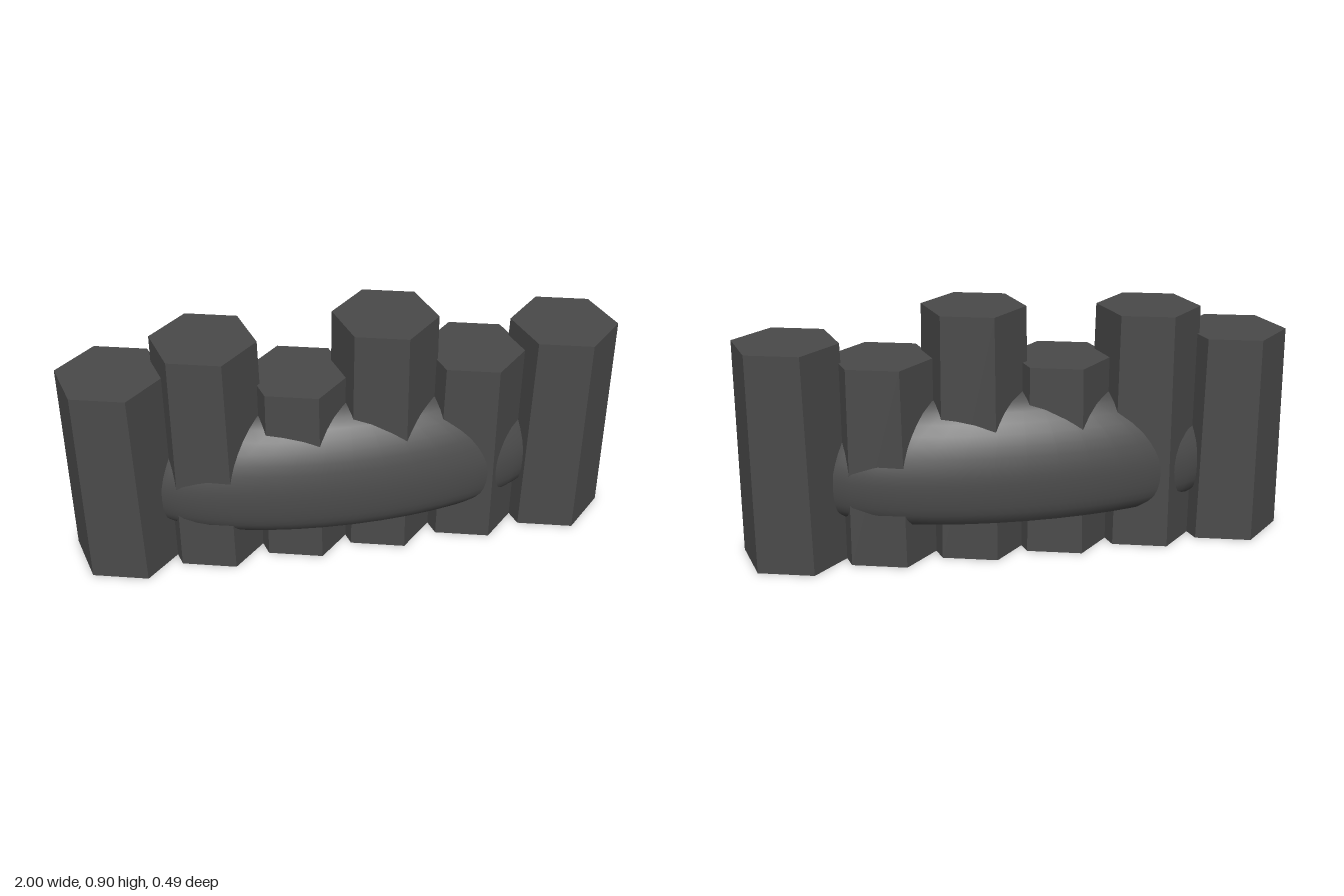
import * as THREE from 'three';
import { toCreasedNormals } from 'three/addons/utils/BufferGeometryUtils.js';

export function createModel() {
  const group = new THREE.Group();
  group.name = 'basaltWall';
  const stone = new THREE.MeshStandardMaterial({ color: 0x4a4a4a });
  stone.name = 'darkStone';

  // Row of tapered hexagonal columns: [x, height, bottom radius]
  const columns = [
    [-0.802, 0.77, 0.205],
    [-0.48, 0.87, 0.2],
    [-0.16, 0.7, 0.2],
    [0.15, 0.9, 0.2],
    [0.475, 0.73, 0.2],
    [0.802, 0.8, 0.205],
  ];
  columns.forEach(([x, height, radius], i) => {
    const hex = new THREE.CylinderGeometry(radius * 0.925, radius, height, 6);
    const column = new THREE.Mesh(toCreasedNormals(hex, 0.3), stone);
    column.name = `hexColumn${i + 1}`;
    column.position.set(x, height / 2, -0.004);
    column.rotation.y = 0.25;
    group.add(column);
  });

  // Long smooth boulder with a flat underside, running through the columns
  const side = new THREE.SplineCurve([
    [0.87, 0.155], [0.97, 0.2], [1, 0.285], [0.96, 0.375],
    [0.81, 0.48], [0.5, 0.575], [0, 0.615],
  ].map(([r, y]) => new THREE.Vector2(r, y))).getPoints(18);
  side[side.length - 1].x = 0;
  const profile = [new THREE.Vector2(0, 0.155), ...side];
  const shell = new THREE.LatheGeometry(profile, 40);
  shell.scale(0.76, 1, 0.243);
  const boulder = new THREE.Mesh(toCreasedNormals(shell, 0.8), stone);
  boulder.name = 'boulder';
  boulder.position.z = -0.002;
  group.add(boulder);

  return group;
}
